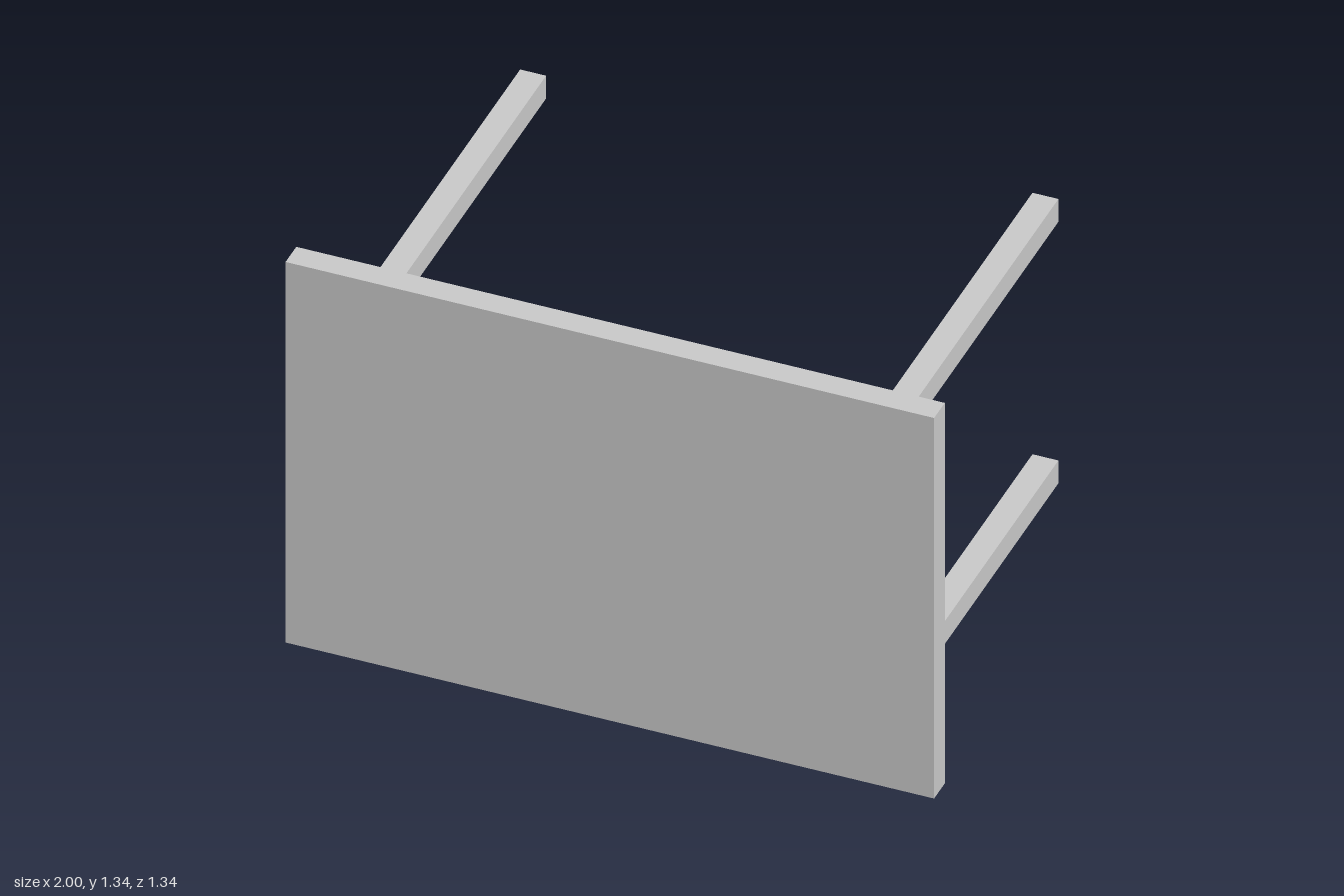
import * as THREE from 'three';

// A table lying on its long edge: the top faces the front, the legs point back.
export function createModel() {
  const model = new THREE.Group();
  model.name = 'table';
  const material = new THREE.MeshStandardMaterial({ color: 0xcccccc });

  const height = 1.336, depth = 1.342, thickness = 0.08;
  const legLength = depth - thickness;

  const addBox = (name, size, position) => {
    const mesh = new THREE.Mesh(new THREE.BoxGeometry(...size), material);
    mesh.name = name;
    mesh.position.set(...position);
    model.add(mesh);
  };

  // Table top
  addBox('tableTop', [2, height, thickness], [0, height / 2, (depth - thickness) / 2]);

  // Four square legs
  for (const [side, x] of [['Left', 0.79], ['Right', -0.79]]) {
    for (const [level, dy] of [['upper', 0.459], ['lower', -0.459]]) {
      addBox(`${level}${side}Leg`, [thickness, thickness, legLength], [x, height / 2 + dy, -thickness / 2]);
    }
  }
  return model;
}
